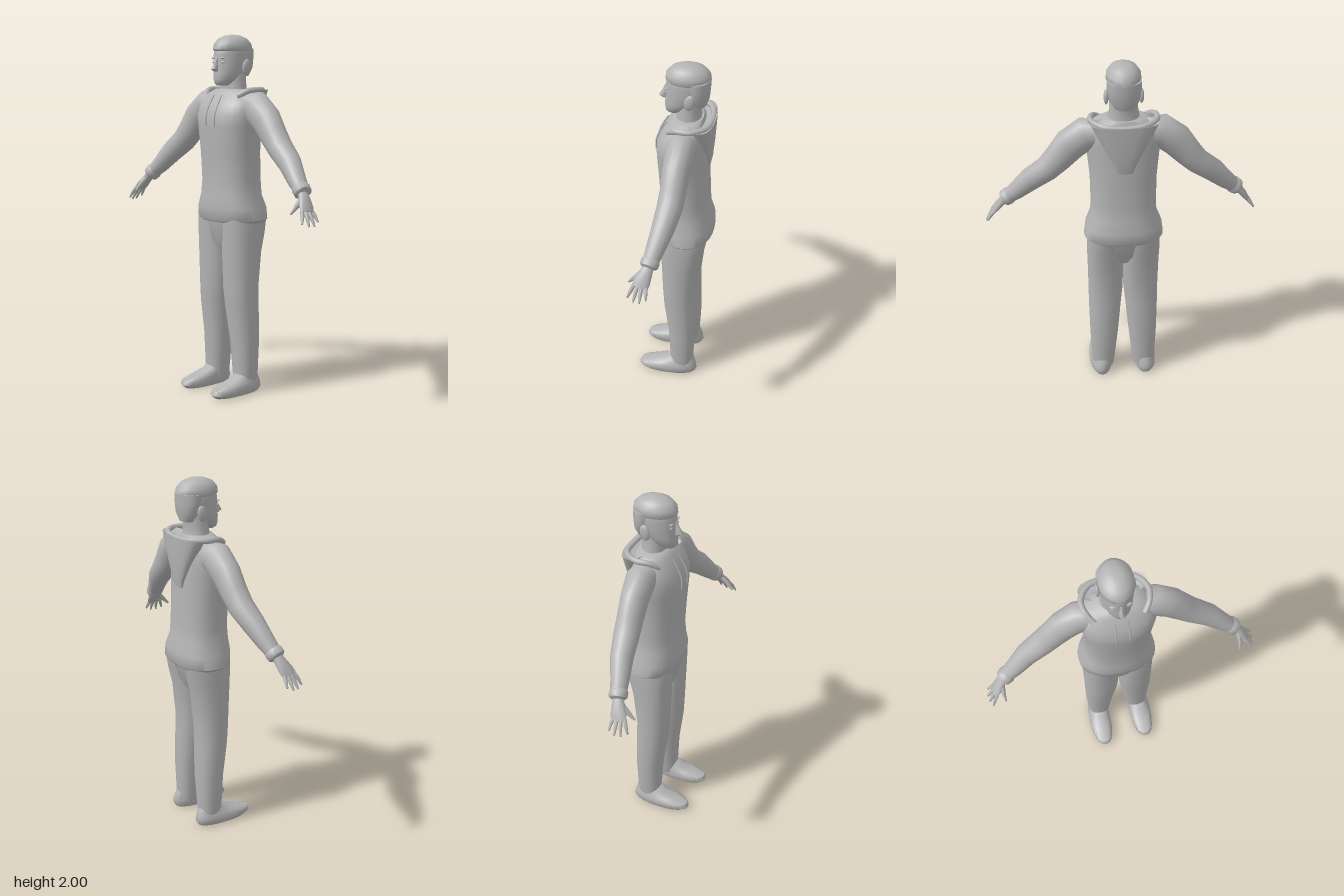
import * as THREE from 'three';
import { toCreasedNormals } from 'three/addons/utils/BufferGeometryUtils.js';

const clay = new THREE.MeshStandardMaterial({ color: 0xb4b4b4 });
clay.name = 'light grey';

// Closed skin over rings [x, y, z, radius along z, radius across].
// Flat rings stay horizontal; otherwise they turn to follow the path.
function loft(rings, { n = 20, flat = true, power = 1 } = {}) {
  const pos = [], idx = [];
  const centre = rings.map(r => new THREE.Vector3(r[0], r[1], r[2]));
  const bend = v => Math.sign(v) * Math.abs(v) ** power;
  rings.forEach((r, i) => {
    const d = flat ? new THREE.Vector3(0, 1, 0)
      : centre[Math.min(i + 1, rings.length - 1)].clone().sub(centre[Math.max(i - 1, 0)]).normalize();
    const u = new THREE.Vector3(0, 0, 1).addScaledVector(d, -d.z).normalize();
    const v = d.clone().cross(u);
    for (let j = 0; j < n; j++) {
      const a = (j / n) * Math.PI * 2;
      const p = centre[i].clone()
        .addScaledVector(u, r[3] * bend(Math.cos(a)))
        .addScaledVector(v, r[4] * bend(Math.sin(a)));
      pos.push(p.x, p.y, p.z);
    }
  });
  const last = rings.length - 1, base = rings.length * n;
  pos.push(...centre[0].toArray(), ...centre[last].toArray());
  for (let j = 0; j < n; j++) {
    const k = (j + 1) % n;
    for (let i = 0; i < last; i++) {
      const a = i * n + j, b = i * n + k;
      idx.push(a, b, b + n, a, b + n, a + n);
    }
    idx.push(base, k, j, base + 1, last * n + j, last * n + k);
  }
  const g = new THREE.BufferGeometry();
  g.setAttribute('position', new THREE.Float32BufferAttribute(pos, 3));
  g.setIndex(idx);
  return toCreasedNormals(g, 0.9);
}

export function createModel() {
  const model = new THREE.Group();
  const add = (name, geometry, parent = model) => {
    const m = new THREE.Mesh(geometry, clay);
    m.name = name;
    parent.add(m);
    return m;
  };
  const blob = (name, x, y, z, sx, sy, sz, parent) => {
    const m = add(name, new THREE.SphereGeometry(1, 12, 8), parent);
    m.position.set(x, y, z);
    m.scale.set(sx, sy, sz);
    return m;
  };
  const tube = (name, points, r, parent) => add(name, new THREE.TubeGeometry(
    new THREE.CatmullRomCurve3(points.map(p => new THREE.Vector3(...p))), 28, r, 8), parent);

  // Sweater body with a loose hem
  add('sweater', loft([
    [0, 0.97, -0.055, 0.142, 0.205], [0, 0.985, -0.055, 0.152, 0.221],
    [0, 1.05, -0.052, 0.155, 0.212], [0, 1.12, -0.045, 0.142, 0.184],
    [0, 1.2, -0.045, 0.134, 0.18], [0, 1.35, -0.038, 0.136, 0.182],
    [0, 1.5, -0.03, 0.138, 0.196], [0, 1.56, -0.03, 0.136, 0.205],
    [0, 1.62, -0.04, 0.122, 0.2], [0, 1.68, -0.055, 0.095, 0.165],
    [0, 1.705, -0.06, 0.078, 0.105],
  ], { n: 28, power: 0.85 }));

  // Hood hanging on the back
  const hood = new THREE.Group();
  hood.name = 'hood';
  model.add(hood);
  add('hoodFlap', loft([
    [0, 1.42, -0.168, 0.012, 0.042], [0, 1.46, -0.17, 0.018, 0.055],
    [0, 1.55, -0.162, 0.034, 0.1], [0, 1.64, -0.145, 0.056, 0.15],
    [0, 1.7, -0.135, 0.068, 0.18], [0, 1.685, -0.125, 0.045, 0.13],
  ], { power: 0.8 }), hood);
  tube('hoodRim', [
    [-0.13, 1.665, 0.03], [-0.165, 1.695, -0.02], [-0.175, 1.7, -0.09], [-0.12, 1.698, -0.165],
    [0, 1.69, -0.185],
    [0.12, 1.698, -0.165], [0.175, 1.7, -0.09], [0.165, 1.695, -0.02], [0.13, 1.665, 0.03],
  ], 0.016, hood);

  // Trousers, seat joining the legs
  add('trouserSeat', loft([
    [0, 0.8, -0.04, 0.07, 0.06], [0, 0.86, -0.042, 0.105, 0.14], [0, 0.98, -0.05, 0.132, 0.2],
  ]));

  // Head
  const head = new THREE.Group();
  head.name = 'head';
  model.add(head);
  add('neck', loft([
    [0, 1.65, -0.065, 0.075, 0.095], [0, 1.7, -0.06, 0.068, 0.085],
    [0, 1.75, -0.06, 0.066, 0.076], [0, 1.83, -0.065, 0.07, 0.075],
  ]), head);
  add('face', loft([
    [0, 1.722, 0.02, 0.03, 0.028], [0, 1.732, 0.016, 0.047, 0.042], [0, 1.755, -0.003, 0.07, 0.062],
    [0, 1.79, -0.03, 0.097, 0.077], [0, 1.84, -0.05, 0.112, 0.084],
    [0, 1.89, -0.053, 0.115, 0.086], [0, 1.94, -0.055, 0.108, 0.083],
    [0, 1.98, -0.055, 0.07, 0.055],
  ], { n: 24 }), head);
  add('hairTop', loft([
    [0, 1.91, -0.055, 0.112, 0.086], [0, 1.918, -0.055, 0.12, 0.092],
    [0, 1.95, -0.055, 0.116, 0.089], [0, 1.98, -0.055, 0.088, 0.068],
    [0, 1.995, -0.055, 0.05, 0.04], [0, 2, -0.055, 0.02, 0.016],
  ], { n: 24 }), head);
  add('hairBack', loft([
    [0, 1.775, -0.112, 0.04, 0.05], [0, 1.82, -0.112, 0.055, 0.08],
    [0, 1.88, -0.105, 0.067, 0.091], [0, 1.925, -0.1, 0.074, 0.091],
  ]), head);
  add('nose', loft([
    [0, 1.8, 0.066, 0.014, 0.013], [0, 1.812, 0.076, 0.024, 0.017],
    [0, 1.84, 0.065, 0.018, 0.01], [0, 1.878, 0.057, 0.008, 0.008],
  ], { n: 10 }), head);
  blob('lips', 0, 1.774, 0.057, 0.023, 0.008, 0.009, head);

  // Mirrored parts
  for (const s of [1, -1]) {
    const side = s > 0 ? 'left' : 'right';
    const mx = rows => rows.map(([x, ...rest]) => [s * x, ...rest]);

    blob(side + 'Ear', s * 0.092, 1.825, -0.075, 0.013, 0.044, 0.028, head).rotation.x = -0.2;
    blob(side + 'Eye', s * 0.036, 1.85, 0.05, 0.014, 0.007, 0.006, head);
    blob(side + 'Brow', s * 0.037, 1.873, 0.05, 0.02, 0.005, 0.009, head);

    tube(side + 'Drawstring', mx([
      [0.032, 1.67, 0.055], [0.035, 1.62, 0.085], [0.036, 1.56, 0.109], [0.036, 1.5, 0.111],
    ]), 0.004);

    // Sleeve and cuff
    add(side + 'Sleeve', loft(mx([
      [0.1, 1.61, -0.05, 0.075, 0.07], [0.2, 1.605, -0.05, 0.08, 0.092],
      [0.285, 1.54, -0.045, 0.073, 0.09], [0.35, 1.46, -0.04, 0.069, 0.078],
      [0.41, 1.395, -0.033, 0.068, 0.069], [0.5, 1.325, -0.015, 0.06, 0.064],
      [0.58, 1.242, 0.012, 0.049, 0.05], [0.625, 1.203, 0.025, 0.043, 0.04],
    ]), { flat: false }));
    add(side + 'Cuff', loft(mx([
      [0.613, 1.214, 0.022, 0.043, 0.04], [0.624, 1.204, 0.026, 0.05, 0.048],
      [0.645, 1.185, 0.032, 0.048, 0.045], [0.652, 1.179, 0.034, 0.035, 0.03],
    ]), { flat: false }));

    // Hand with four fingers and a thumb
    const hand = new THREE.Group();
    hand.name = side + 'Hand';
    model.add(hand);
    add('palm', loft(mx([
      [0.635, 1.195, 0.03, 0.028, 0.022], [0.665, 1.16, 0.042, 0.034, 0.022],
      [0.695, 1.12, 0.058, 0.044, 0.018], [0.712, 1.095, 0.066, 0.041, 0.013],
    ]), { n: 14, flat: false }), hand);
    const tips = [[0.75, 1.045, 0.028], [0.758, 1.028, 0.062], [0.752, 1.028, 0.095], [0.735, 1.04, 0.128]];
    tips.forEach(([x, y, z], i) => {
      const root = 0.036 + i * 0.02;
      add('finger', loft(mx([
        [0.7, 1.11, root, 0.01, 0.01],
        [(0.7 + x) / 2 + 0.004, (1.11 + y) / 2, (root + z) / 2, 0.01, 0.01],
        [x, y, z, 0.005, 0.005],
      ]), { n: 8, flat: false }), hand);
    });
    add('thumb', loft(mx([
      [0.66, 1.165, 0.055, 0.016, 0.014], [0.666, 1.125, 0.095, 0.014, 0.012],
      [0.662, 1.085, 0.135, 0.006, 0.005],
    ]), { n: 8, flat: false }), hand);

    // Trouser leg
    add(side + 'TrouserLeg', loft(mx([
      [0.12, 0.045, -0.047, 0.064, 0.062], [0.12, 0.1, -0.047, 0.068, 0.068],
      [0.113, 0.3, -0.047, 0.078, 0.083], [0.106, 0.5, -0.032, 0.09, 0.094],
      [0.101, 0.6, -0.028, 0.093, 0.099], [0.1, 0.8, -0.035, 0.108, 0.103],
      [0.102, 0.9, -0.045, 0.122, 0.104], [0.102, 0.99, -0.052, 0.132, 0.102],
    ]), { power: 0.88 }));

    // Shoe with a flat sole and sloping toe
    add(side + 'Shoe', loft(mx([
      [0.13, 0, 0.03, 0.155, 0.055], [0.132, 0.02, 0.036, 0.174, 0.066],
      [0.132, 0.045, 0.032, 0.168, 0.066], [0.13, 0.065, 0.0, 0.13, 0.06],
      [0.126, 0.085, -0.035, 0.088, 0.054], [0.124, 0.11, -0.045, 0.065, 0.05],
    ]), { power: 0.85 }));
  }
  return model;
}
